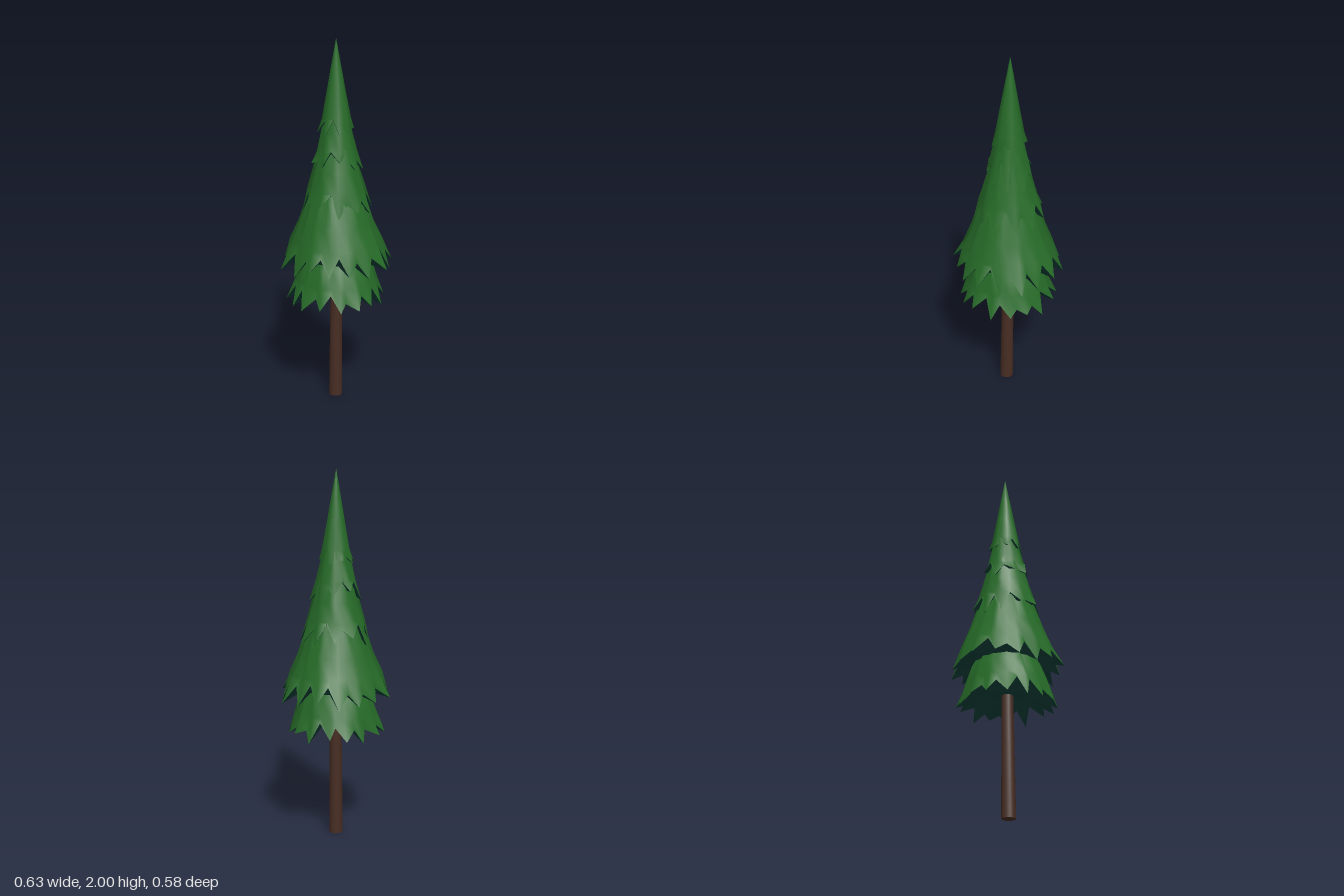
import * as THREE from 'three';

const foliage = new THREE.MeshStandardMaterial({ color: 0x266b28 });
foliage.name = 'needle green';
const shade = new THREE.MeshStandardMaterial({ color: 0x0f4039 });
shade.name = 'underside teal';
const bark = new THREE.MeshStandardMaterial({ color: 0x472d23 });
bark.name = 'bark brown';

// repeatable variation in -1..1
function seeded(seed) {
  let s = seed;
  return () => {
    s = (s * 16807) % 2147483647;
    return (s / 2147483647) * 2 - 1;
  };
}

// slight lean of the tree toward the back
const leanX = (y) => -0.008 + 0.008 * Math.min(1, y);
const leanZ = (y) => 0.003 - 0.009 * y;

// stitches closed rings of [x, y, z] points, lowest ring first
function skin(rings, inward, material, name) {
  const n = rings[0].length;
  const index = [];
  for (let i = 0; i < rings.length - 1; i++) {
    for (let j = 0; j < n; j++) {
      const k = (j + 1) % n;
      const a = i * n + j, b = a + n, c = (i + 1) * n + k, d = i * n + k;
      if (inward) index.push(a, c, b, a, d, c);
      else index.push(a, b, c, a, c, d);
    }
  }
  const g = new THREE.BufferGeometry();
  g.setAttribute('position', new THREE.Float32BufferAttribute(rings.flat(2), 3));
  g.setIndex(index);
  g.computeVertexNormals();
  const mesh = new THREE.Mesh(g, material);
  mesh.name = name;
  return mesh;
}

// One skirt of branches: jagged hem of tips and notches, ridged body, closed underside
function tier(o) {
  const rand = seeded(o.seed);
  const point = (r, y, a) => [r * Math.cos(a) + leanX(y), y, r * Math.sin(a) + leanZ(y)];
  const count = o.points * 2;
  const angles = [], hem = [];
  for (let j = 0; j < count; j++) {
    const isTip = j % 2 === 0;
    const a = (o.turn || 0) + (j * Math.PI) / o.points + (o.skew ?? 0.05) * rand();
    const [r, y] = isTip ? o.tip : o.notch;
    const radius = isTip && o.radii ? o.radii[j / 2] : r + rand() * o.vary * 0.3;
    angles.push(a);
    hem.push(point(radius, y + rand() * o.vary, a));
  }
  const rings = [hem];
  for (const [r, y, ridge] of o.body) {
    rings.push(angles.map((a, j) => point(r + (j % 2 ? -ridge : ridge) * (1 + 0.4 * rand()), y, a)));
  }
  const group = new THREE.Group();
  group.name = o.name;
  group.add(skin(rings, false, foliage, 'needles'));

  const under = [hem, ...o.under.map(([r, y]) => angles.map((a) => point(r, y, a)))];
  group.add(skin(under, true, shade, 'underside'));
  return group;
}

const tiers = [
  {
    name: 'bottomSkirt', seed: 71, points: 16, turn: 0.2, vary: 0.03,
    tip: [0.265, 0.59], notch: [0.222, 0.66],
    body: [[0.212, 0.71, 0.012], [0.185, 0.8, 0.008], [0.1, 0.98, 0]],
    under: [[0.13, 0.645], [0.02, 0.66]],
  },
  {
    name: 'wideSkirt', seed: 215, points: 16, vary: 0.028, skew: 0.025,
    tip: [0.3, 0.79], notch: [0.25, 0.87],
    radii: [0.318, 0.289, 0.311, 0.293, 0.285, 0.31, 0.285, 0.282,
      0.312, 0.285, 0.311, 0.292, 0.292, 0.305, 0.297, 0.289],
    body: [[0.238, 0.92, 0.013], [0.193, 1.03, 0.01], [0.15, 1.17, 0.006], [0.09, 1.32, 0]],
    under: [[0.19, 0.835], [0.1, 0.85]],
  },
  {
    name: 'middleSkirt', seed: 1337, points: 11, turn: 0.05, vary: 0.04,
    tip: [0.19, 1.11], notch: [0.158, 1.17],
    body: [[0.15, 1.21, 0.009], [0.123, 1.31, 0.006], [0.075, 1.5, 0]],
    under: [[0.1, 1.17]],
  },
  {
    name: 'upperSkirt', seed: 4021, points: 9, turn: 0.3, vary: 0.045,
    tip: [0.131, 1.33], notch: [0.105, 1.39],
    body: [[0.101, 1.42, 0.007], [0.08, 1.52, 0.004], [0.045, 1.7, 0]],
    under: [[0.06, 1.38]],
  },
  {
    name: 'crown', seed: 909, points: 8, turn: 0.1, vary: 0.03,
    tip: [0.094, 1.51], notch: [0.076, 1.56],
    body: [[0.073, 1.59, 0.004], [0.05, 1.72, 0.002], [0.026, 1.86, 0.001], [0.0005, 2, 0]],
    under: [[0.045, 1.55]],
  },
];

export function createModel() {
  const tree = new THREE.Group();
  tree.name = 'pineTree';

  // Trunk, sheared to follow the lean
  const g = new THREE.CylinderGeometry(0.031, 0.038, 0.8, 12, 4);
  g.translate(0, 0.4, 0);
  const p = g.attributes.position;
  for (let i = 0; i < p.count; i++) {
    const y = p.getY(i);
    p.setXYZ(i, p.getX(i) + leanX(y), y, p.getZ(i) + leanZ(y));
  }
  g.computeBoundingSphere();
  const trunk = new THREE.Mesh(g, bark);
  trunk.name = 'trunk';
  tree.add(trunk);

  for (const t of tiers) tree.add(tier(t));
  return tree;
}
